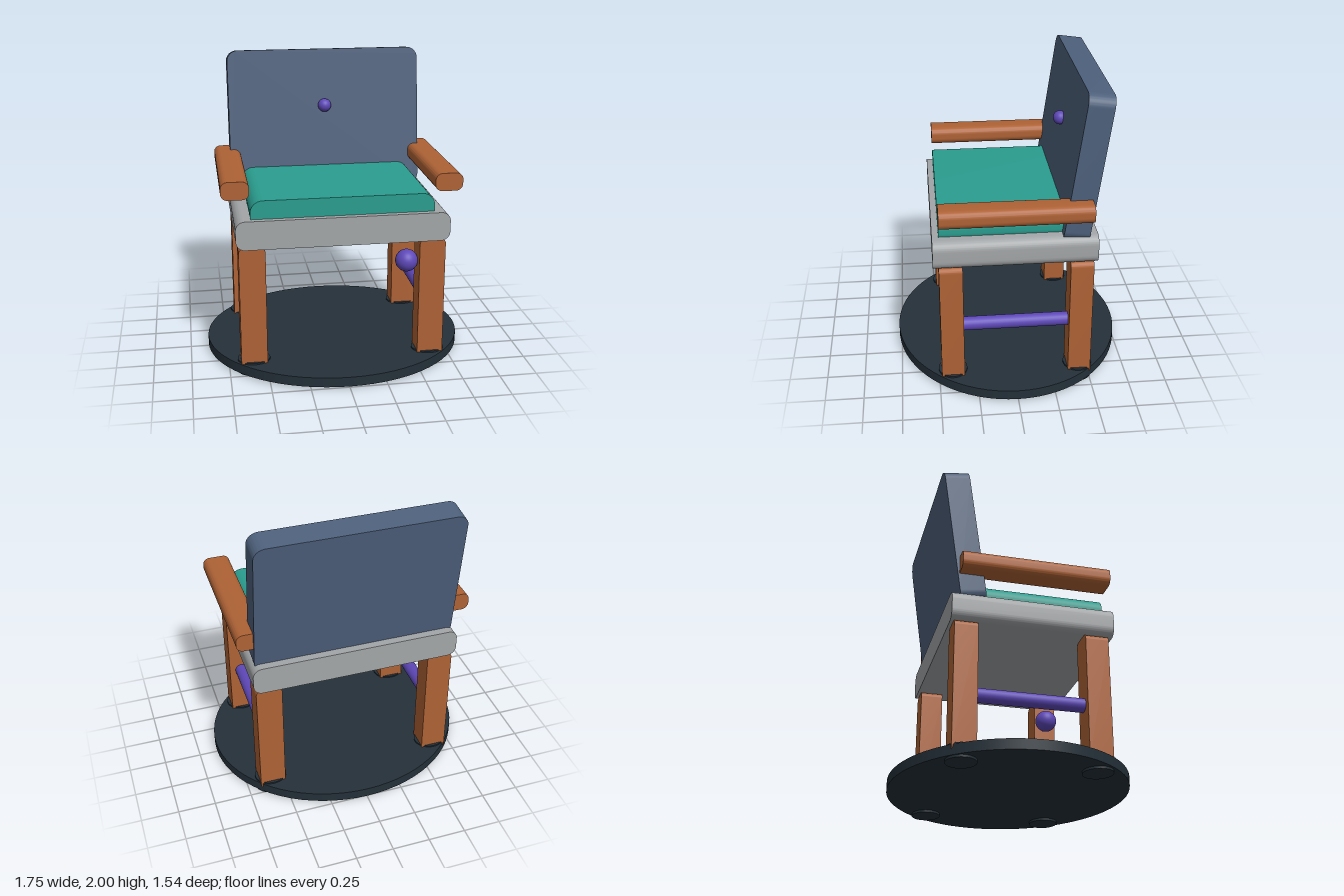
import * as THREE from 'three';
import { toCreasedNormals } from 'three/addons/utils/BufferGeometryUtils.js';

const material = (name, color) => {
  const m = new THREE.MeshStandardMaterial({ color });
  m.name = name;
  return m;
};

// Bar with a rounded-rectangle section in x/y, extruded along z and centred on the origin
function roundedBar(w, h, depth, r) {
  const x = w / 2, y = h / 2;
  const s = new THREE.Shape();
  s.moveTo(-x + r, -y);
  s.lineTo(x - r, -y);
  s.absarc(x - r, -y + r, r, -Math.PI / 2, 0);
  s.lineTo(x, y - r);
  s.absarc(x - r, y - r, r, 0, Math.PI / 2);
  s.lineTo(-x + r, y);
  s.absarc(-x + r, y - r, r, Math.PI / 2, Math.PI);
  s.lineTo(-x, -y + r);
  s.absarc(-x + r, -y + r, r, Math.PI, Math.PI * 1.5);
  const g = new THREE.ExtrudeGeometry(s, { depth, bevelEnabled: false, curveSegments: 8 });
  g.translate(0, 0, -depth / 2);
  return toCreasedNormals(g, 0.6);
}

export function createModel() {
  const model = new THREE.Group();
  model.name = 'chair';
  const wood = material('wood', 0xae6235);
  const grey = material('seat grey', 0xa3a6a8);
  const blue = material('back blue', 0x4d607b);
  const teal = material('cushion teal', 0x2a9d8f);
  const purple = material('accent purple', 0x5e48b8);
  const dark = material('base dark', 0x243039);

  const add = (name, geometry, mat, x, y, z) => {
    const mesh = new THREE.Mesh(geometry, mat);
    mesh.name = name;
    mesh.position.set(x, y, z);
    model.add(mesh);
    return mesh;
  };

  // Oval base plate
  const plate = new THREE.CylinderGeometry(1, 1, 0.065, 72);
  plate.scale(0.877, 1, 0.768);
  add('basePlate', plate, dark, 0, 0.0475, 0);

  // Legs standing on oval foot pads
  const legGeo = roundedBar(0.172, 0.845, 0.15, 0.035);
  const padGeo = new THREE.CylinderGeometry(1, 1, 0.09, 32);
  padGeo.scale(0.108, 1, 0.095);
  const railGeo = new THREE.CylinderGeometry(0.045, 0.045, 0.76, 24);
  railGeo.rotateX(Math.PI / 2);
  const armGeo = roundedBar(0.18, 0.118, 0.955, 0.045);

  for (const [side, sx] of [['left', 1], ['right', -1]]) {
    for (const [end, z] of [['Front', 0.41], ['Back', -0.425]]) {
      add(side + end + 'Leg', legGeo, wood, sx * 0.589, 0.4625, z);
      add(side + end + 'FootPad', padGeo, dark, sx * 0.589, 0.045, z);
    }
    add(side + 'SideRail', railGeo, purple, sx * 0.589, 0.43, -0.008);
    add(side + 'Armrest', armGeo, wood, sx * 0.686, 1.265, 0.003);
  }

  // Seat and cushion
  add('seat', roundedBar(1.384, 0.19, 1.042, 0.06), grey, 0, 0.98, 0);
  add('cushion', roundedBar(1.19, 0.18, 0.9, 0.082), teal, 0, 1.106, 0.03);

  // Reclined back panel with its button
  const back = add('backPanel', roundedBar(1.336, 0.97, 0.165, 0.075), blue, 0, 1.508, -0.444);
  back.rotation.x = -0.14;
  const button = new THREE.SphereGeometry(0.046, 24, 16);
  add('backButton', button, purple, 0, 1.615, -0.36);

  // Round knob on the inside of the left front leg
  add('legKnob', new THREE.SphereGeometry(0.075, 32, 20), purple, 0.435, 0.716, 0.4);

  return model;
}
